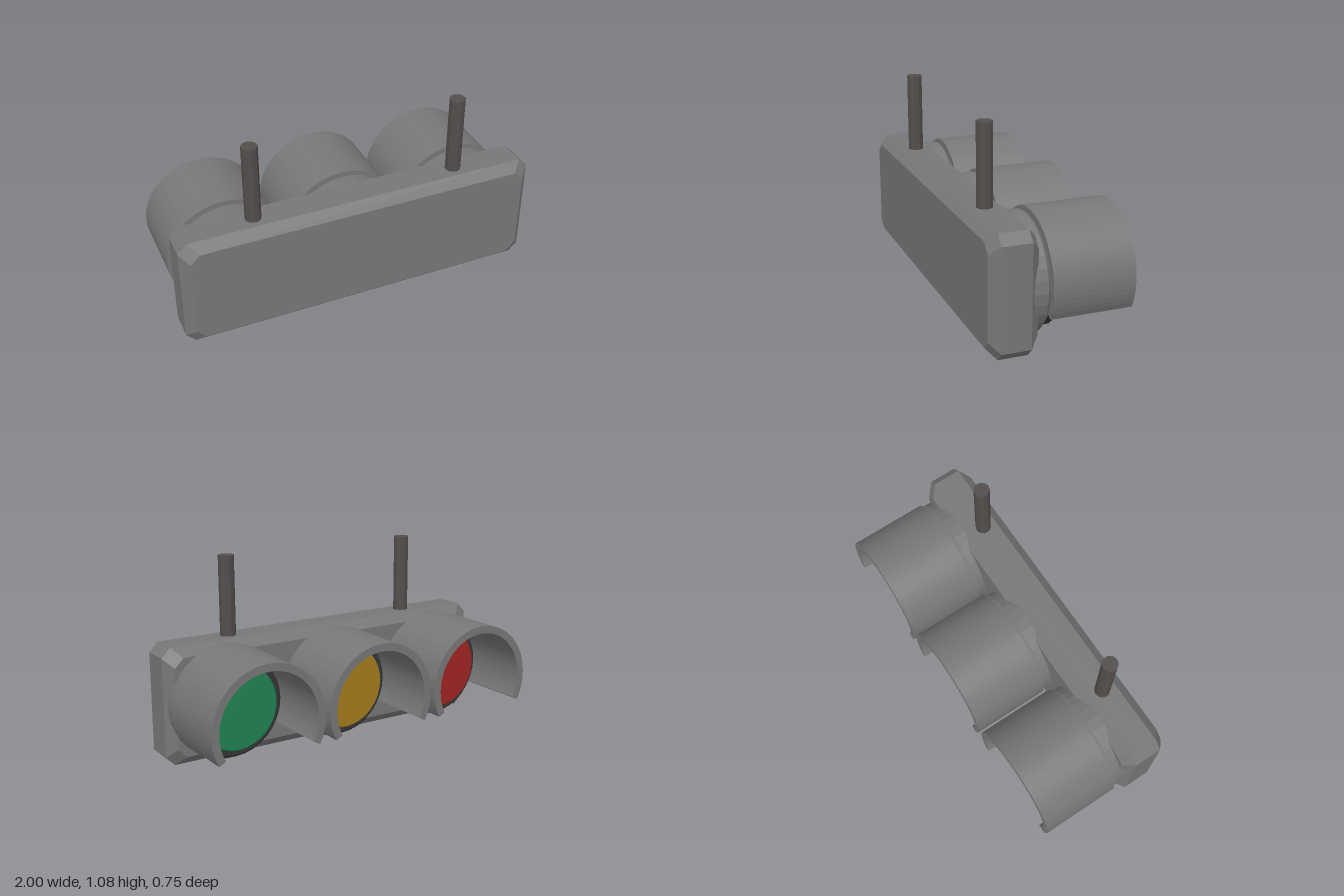
import * as THREE from 'three';

const SIDES = 32;
const MID_Y = 0.32;

const paint = (color) => new THREE.MeshStandardMaterial({ color, flatShading: true });

function add(parent, name, geometry, material) {
  const mesh = new THREE.Mesh(geometry, material);
  mesh.name = name;
  parent.add(mesh);
  return mesh;
}

// Housing: octagonal sections stacked along z, inset at both ends for the bevel
function housingGeometry() {
  const cut = 0.05;
  const sections = [[0.12, 0.05], [0.17, 0], [0.325, 0], [0.375, 0.05]];
  const loops = sections.map(([z, inset]) => {
    const w = 1 - inset, h = MID_Y - inset;
    return [
      [w, -h + cut], [w, h - cut], [w - cut, h], [-w + cut, h],
      [-w, h - cut], [-w, -h + cut], [-w + cut, -h], [w - cut, -h],
    ].map(([x, y]) => [x, y + MID_Y, z]);
  });
  const positions = [];
  const tri = (a, b, c) => positions.push(...a, ...b, ...c);
  for (let s = 0; s < loops.length - 1; s++) {
    const a = loops[s], b = loops[s + 1];
    for (let i = 0; i < 8; i++) {
      const j = (i + 1) % 8;
      tri(a[i], a[j], b[j]);
      tri(a[i], b[j], b[i]);
    }
  }
  const back = loops[0], front = loops[loops.length - 1];
  for (let i = 1; i < 7; i++) {
    tri(back[0], back[i + 1], back[i]);
    tri(front[0], front[i], front[i + 1]);
  }
  const geometry = new THREE.BufferGeometry();
  geometry.setAttribute('position', new THREE.Float32BufferAttribute(positions, 3));
  geometry.computeVertexNormals();
  return geometry;
}

// Turned part along z from [radius, z] pairs, running towards -z
function turned(profile) {
  const points = profile.map(([r, z]) => new THREE.Vector2(r, -z));
  return new THREE.LatheGeometry(points, SIDES).rotateX(-Math.PI / 2);
}

// Visor: thick arc open at the bottom, extruded along z
function visorGeometry() {
  const start = -0.48, end = Math.PI + 0.48;
  const shape = new THREE.Shape();
  shape.absarc(0, 0, 0.324, start, end, false);
  shape.absarc(0, 0, 0.282, end, start, true);
  return new THREE.ExtrudeGeometry(shape, {
    depth: 0.435, bevelEnabled: false, curveSegments: 22,
  }).translate(0, 0, -0.375);
}

export function createModel() {
  const model = new THREE.Group();
  model.name = 'trafficLight';
  const grey = paint(0x777777);
  const rodGrey = paint(0x524e4c);
  const dark = paint(0x363636);

  add(model, 'housing', housingGeometry(), grey);

  // Hanging rods
  for (const side of [-1, 1]) {
    const rod = add(model, side > 0 ? 'leftRod' : 'rightRod',
      new THREE.CylinderGeometry(0.043, 0.043, 0.475, 10), rodGrey);
    rod.position.set(side * 0.575, 0.8375, 0.25);
  }

  // Three lamps sharing the same geometries
  const baseGeometry = turned([[0, 0.2], [0.31, 0.2], [0.31, 0.08], [0.283, 0.053], [0, 0.053]]);
  const ringGeometry = turned([[0, 0.06], [0.28, 0.06], [0.28, 0.012], [0.268, 0], [0, 0]]);
  const lensGeometry = turned([[0, 0.01], [0.235, 0.01], [0.235, -0.028], [0.227, -0.036], [0, -0.036]]);
  const hood = visorGeometry();
  const lamps = [['red', -0.675, 0xa02424], ['amber', 0, 0xa47c1e], ['green', 0.675, 0x208352]];
  for (const [name, x, color] of lamps) {
    const lamp = new THREE.Group();
    lamp.name = name + 'Lamp';
    lamp.position.set(x, MID_Y, 0);
    add(lamp, 'lampBase', baseGeometry, grey);
    add(lamp, 'lampRing', ringGeometry, dark);
    add(lamp, 'lens', lensGeometry, paint(color));
    add(lamp, 'visor', hood, grey);
    model.add(lamp);
  }
  return model;
}
